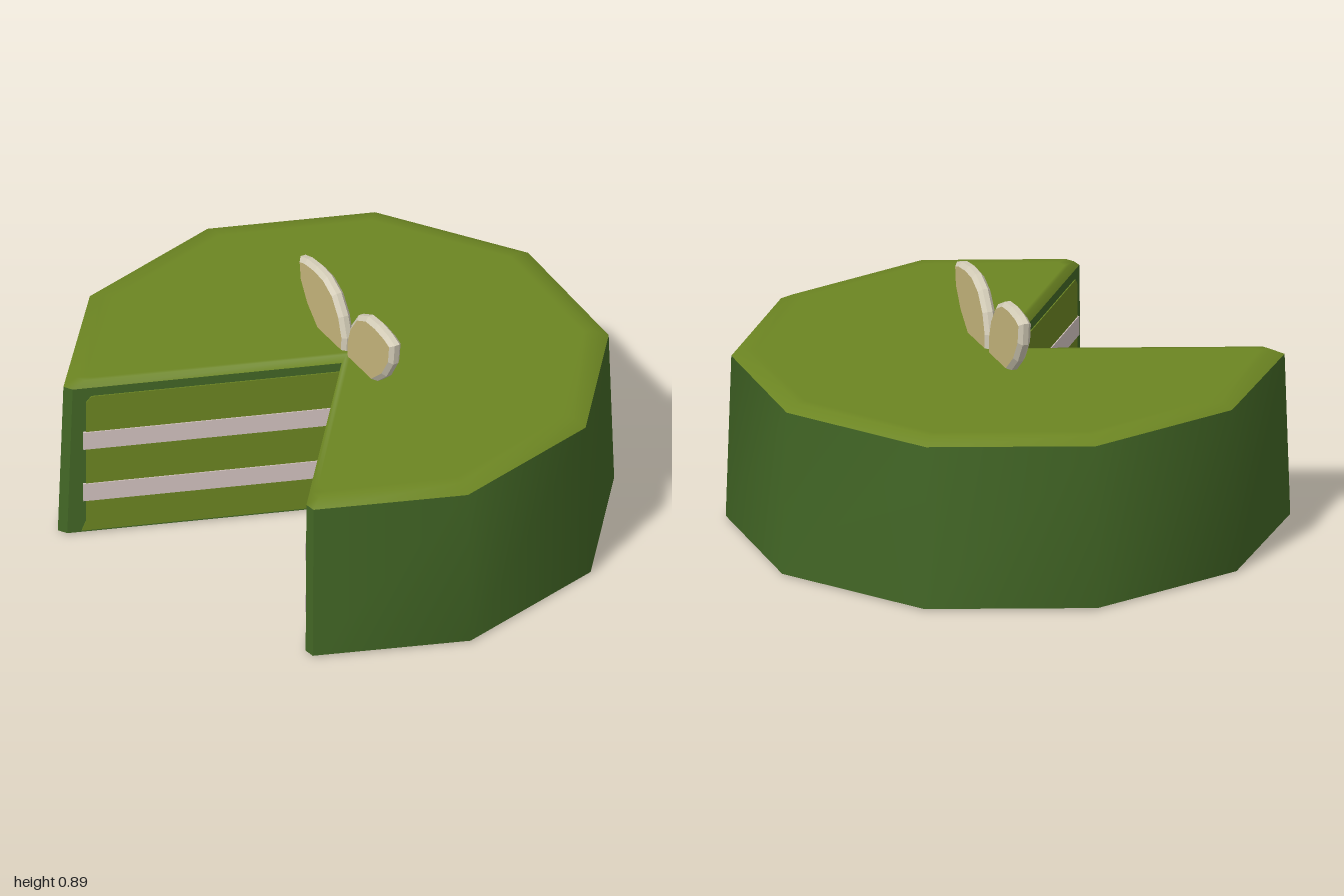
import * as THREE from 'three';

const mat = (name, color, side = THREE.FrontSide) => {
  const m = new THREE.MeshStandardMaterial({ color, side });
  m.name = name;
  return m;
};

const STEP = Math.PI / 5;
const dir = (k) => [Math.sin(k * STEP), Math.cos(k * STEP)];
const CUT = 0.015; // distance of the first cut plane from the axis

// Ten-sided outline with a two-step wedge missing: [x, z] points, apex last
function outline(r, d) {
  const s = r / 1.01, e = d - 0.025;
  const [ax, az] = dir(8), px = -az, pz = ax; // second cut: along and into the cake
  const second = (along, across) => [ax * along + px * across, az * along + pz * across];
  const pts = [[d, 0.962 * s], [d + 0.03, 0.992 * s]];
  for (let k = 1; k <= 7; k++) pts.push(dir(k).map((v) => v * r));
  pts.push(second(1.02 * s, e + 0.025), second(0.99 * s, e));
  pts.push([d, (e - px * d) / pz]);
  return pts;
}
const ring = (r, d, y) => outline(r, d).map(([x, z]) => [x, y, z + 0.006]);

// Skin between stacked rings over chosen outline edges, with optional end caps
function skin(rings, from, count, { top = false, bottom = false } = {}) {
  const n = 12, index = [];
  for (let j = 0; j + 1 < rings.length; j++) {
    for (let i = from; i < from + count; i++) {
      const a = j * n + (i % n), b = j * n + ((i + 1) % n);
      index.push(a, b, b + n, a, b + n, a + n);
    }
  }
  const last = (rings.length - 1) * n;
  for (let i = 0; i < n - 2; i++) {
    if (top) index.push(last + 11, last + i, last + i + 1);
    if (bottom) index.push(11, i + 1, i);
  }
  const g = new THREE.BufferGeometry();
  g.setAttribute('position', new THREE.Float32BufferAttribute(rings.flat(2), 3));
  g.setIndex(index);
  g.computeVertexNormals();
  return g;
}

export function createModel() {
  const model = new THREE.Group();
  model.name = 'cutCake';
  const icing = mat('dark green icing', 0x426625);
  const sponge = mat('olive sponge', 0x6c8522);
  const cream = mat('cream filling', 0xd3c3c0);
  const petalFace = mat('tan petal', 0xc6b67c);
  const petalRim = mat('pale petal rim', 0xd4cdb8);

  const add = (parent, name, geometry, material) => {
    const m = new THREE.Mesh(geometry, material);
    m.name = name;
    parent.add(m);
    return m;
  };

  // Outer wall, bevelled tips and the two cut walls
  const low = ring(1.01, CUT, 0.005), high = ring(0.99, CUT, 0.62);
  add(model, 'outerWall', skin([low, high], 1, 8), icing);
  [['frontTip', 0], ['sideTip', 9], ['sideCutWall', 10], ['frontCutWall', 11]].forEach(
    ([name, i]) => add(model, name, skin([low, high], i, 1), icing));

  // Softly bevelled top and underside
  add(model, 'top', skin(
    [high, ring(0.94, CUT + 0.015, 0.645), ring(0.9, CUT + 0.03, 0.645)], 0, 12, { top: true }), sponge);
  add(model, 'underside', skin(
    [ring(0.95, CUT + 0.03, 0), low], 0, 12, { bottom: true }), sponge);

  // Sponge and cream layers shown on both cuts
  const apex = low[11];
  for (const [name, k, s, len] of [['frontCut', 0, 1, 0.91], ['sideCut', 8, -1, 0.945]]) {
    const cut = new THREE.Group();
    cut.name = name;
    const [dx, dz] = dir(k);
    cut.position.set(apex[0], 0, apex[2]);
    cut.rotation.y = Math.atan2(-s * dz, s * dx);
    const panel = new THREE.Shape(
      [[0, 0.012], [len + 0.005, 0.012], [len - 0.01, 0.05], [len - 0.01, 0.56], [len - 0.03, 0.585], [0, 0.585]]
        .map(([x, y]) => new THREE.Vector2(s * x, y)));
    add(cut, 'spongePanel', new THREE.ExtrudeGeometry(panel, { depth: 0.004, bevelEnabled: false }), sponge);
    for (const y of [0.177, 0.398]) {
      const band = add(cut, 'creamLayer', new THREE.BoxGeometry(len, 0.073, 0.008), cream);
      band.position.set(s * len / 2, y, 0.004);
    }
    model.add(cut);
  }

  // Pair of upright petals on top
  const petals = new THREE.Group();
  petals.name = 'petals';
  petals.position.set(0.04, 0, -0.03);
  petals.rotation.y = -Math.atan2(0.79, 0.61);
  const profile = [[0.01, 0.63], [0.005, 0.7], [0.03, 0.78], [0.08, 0.85], [0.15, 0.885], [0.22, 0.89],
    [0.29, 0.882], [0.34, 0.865], [0.33, 0.78], [0.28, 0.7], [0.2, 0.63]];
  for (const s of [1, -1]) {
    const shape = new THREE.Shape(profile.map(([u, v]) => new THREE.Vector2(s * u, v)));
    const g = new THREE.ExtrudeGeometry(shape, {
      depth: 0.02, bevelThickness: 0.014, bevelSize: 0.016, bevelOffset: -0.016, bevelSegments: 1,
    });
    g.translate(0, 0, -0.01);
    add(petals, s > 0 ? 'frontPetal' : 'backPetal', g, [petalFace, petalRim]);
  }
  model.add(petals);
  return model;
}
